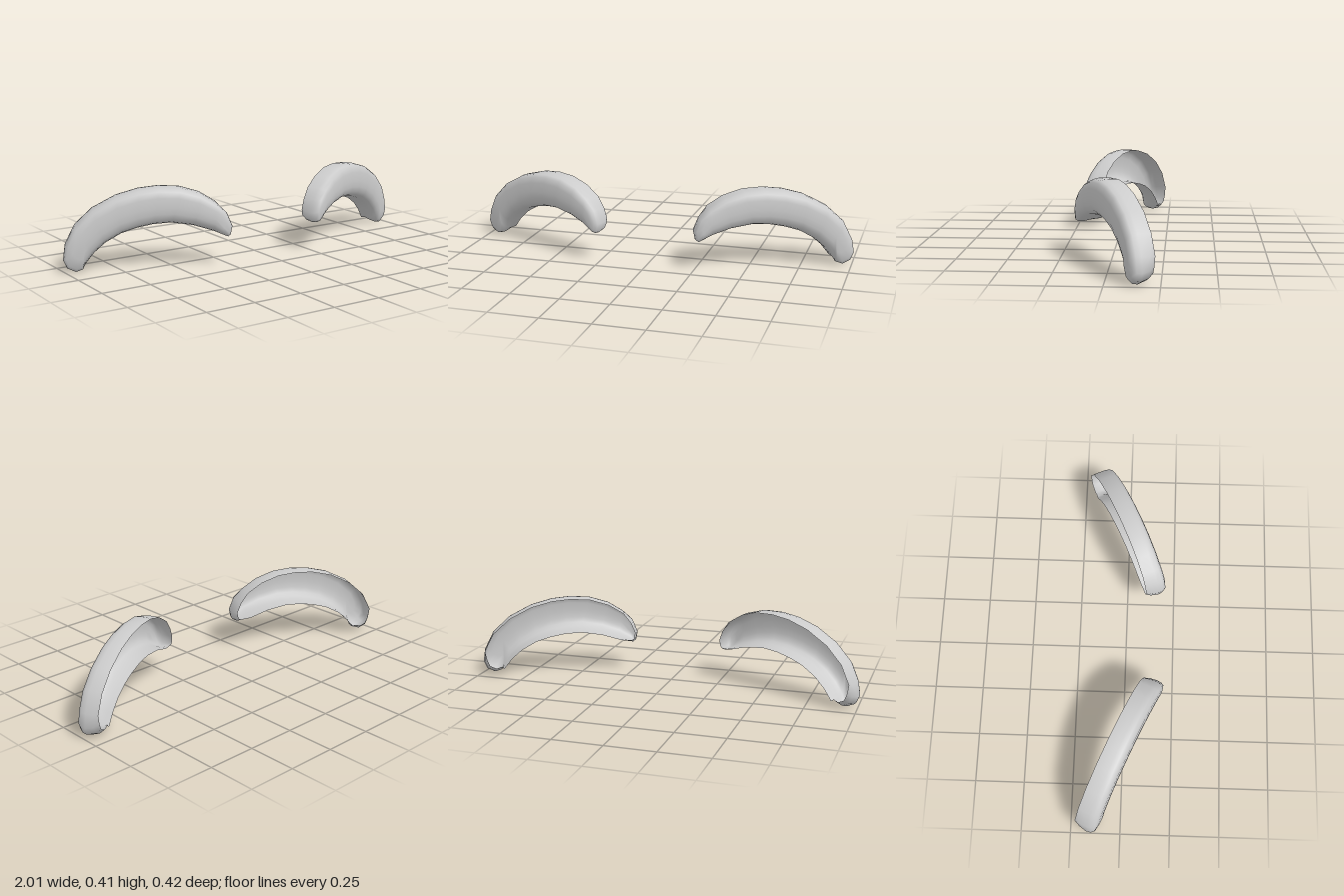
import * as THREE from 'three';
import { mergeVertices } from 'three/addons/utils/BufferGeometryUtils.js';

// Arch stations from inner to outer tip: [top x, top y, bottom x, bottom y]
const STATIONS = [
  [0.242, 0.2, 0.25, 0.158], [0.267, 0.267, 0.262, 0.147], [0.315, 0.318, 0.33, 0.172],
  [0.385, 0.367, 0.42, 0.203], [0.475, 0.398, 0.52, 0.22], [0.57, 0.405, 0.6, 0.215],
  [0.66, 0.395, 0.67, 0.2], [0.76, 0.365, 0.74, 0.176], [0.866, 0.305, 0.81, 0.133],
  [0.946, 0.225, 0.86, 0.085], [0.99, 0.13, 0.9, 0.03], [1.0, 0.06, 0.914, 0.012],
  [0.984, 0.02, 0.946, 0],
];

// Shell layers from the open back to the domed front: depth, and how far
// the upper edge, lower edge and tips reach out from the spine
const LAYERS = [
  { n: 0.185, top: 0.97, bottom: 1.0, tip: 0.78 },
  { n: 0.21, top: 1.0, bottom: 0.98, tip: 0.92 },
  { n: 0.25, top: 1.0, bottom: 0.93, tip: 1.0 },
  { n: 0.275, top: 0.95, bottom: 0.82, tip: 0.97 },
  { n: 0.291, top: 0.82, bottom: 0.64, tip: 0.86 },
  { n: 0.299, top: 0.5, bottom: 0.35, tip: 0.55 },
  { n: 0.301, top: 0, bottom: 0, tip: 0 },
];

const ANGLE = Math.atan2(0.407, 0.914);

function archedShell(side) {
  const cos = Math.cos(ANGLE), sin = Math.sin(ANGLE);
  const last = STATIONS.length - 1;

  // Closed outline: along the top, back along the bottom
  const outline = [];
  const add = (i, edge) => {
    const s = STATIONS[i];
    const c = STATIONS[Math.min(Math.max(i, 2), last - 3)];
    outline.push({
      x: edge === 'top' ? s[0] : s[2],
      y: edge === 'top' ? s[1] : s[3],
      cx: (c[0] + c[2]) / 2,
      cy: (c[1] + c[3]) / 2,
      edge: i < 2 || i > last - 2 ? 'tip' : edge,
    });
  };
  for (let i = 0; i <= last; i++) add(i, 'top');
  for (let i = last; i >= 0; i--) add(i, 'bottom');

  // Rings shrink toward the spine, then turn with the slanted brow
  const positions = [], index = [], count = outline.length;
  for (const layer of LAYERS) {
    for (const p of outline) {
      const f = layer[p.edge];
      const u = (p.cx + (p.x - p.cx) * f - 0.25 * sin) / cos;
      const y = p.cy + (p.y - p.cy) * f;
      positions.push(side * (u * cos + layer.n * sin), y, -u * sin + layer.n * cos);
    }
  }
  for (let j = 0; j < LAYERS.length - 1; j++) {
    for (let i = 0; i < count; i++) {
      const k = (i + 1) % count;
      const a = j * count + i, b = j * count + k, c = b + count, d = a + count;
      if (side > 0) index.push(a, c, b, a, d, c);
      else index.push(a, b, c, a, c, d);
    }
  }
  let geometry = new THREE.BufferGeometry();
  geometry.setAttribute('position', new THREE.Float32BufferAttribute(positions, 3));
  geometry.setIndex(index);
  geometry = mergeVertices(geometry, 1e-5);
  geometry.computeVertexNormals();
  return geometry;
}

export function createModel() {
  const group = new THREE.Group();
  group.name = 'eyebrows';
  const material = new THREE.MeshStandardMaterial({ color: 0xcccccc, side: THREE.DoubleSide });
  for (const [name, side] of [['leftEyebrow', 1], ['rightEyebrow', -1]]) {
    const brow = new THREE.Mesh(archedShell(side), material);
    brow.name = name;
    group.add(brow);
  }
  return group;
}
